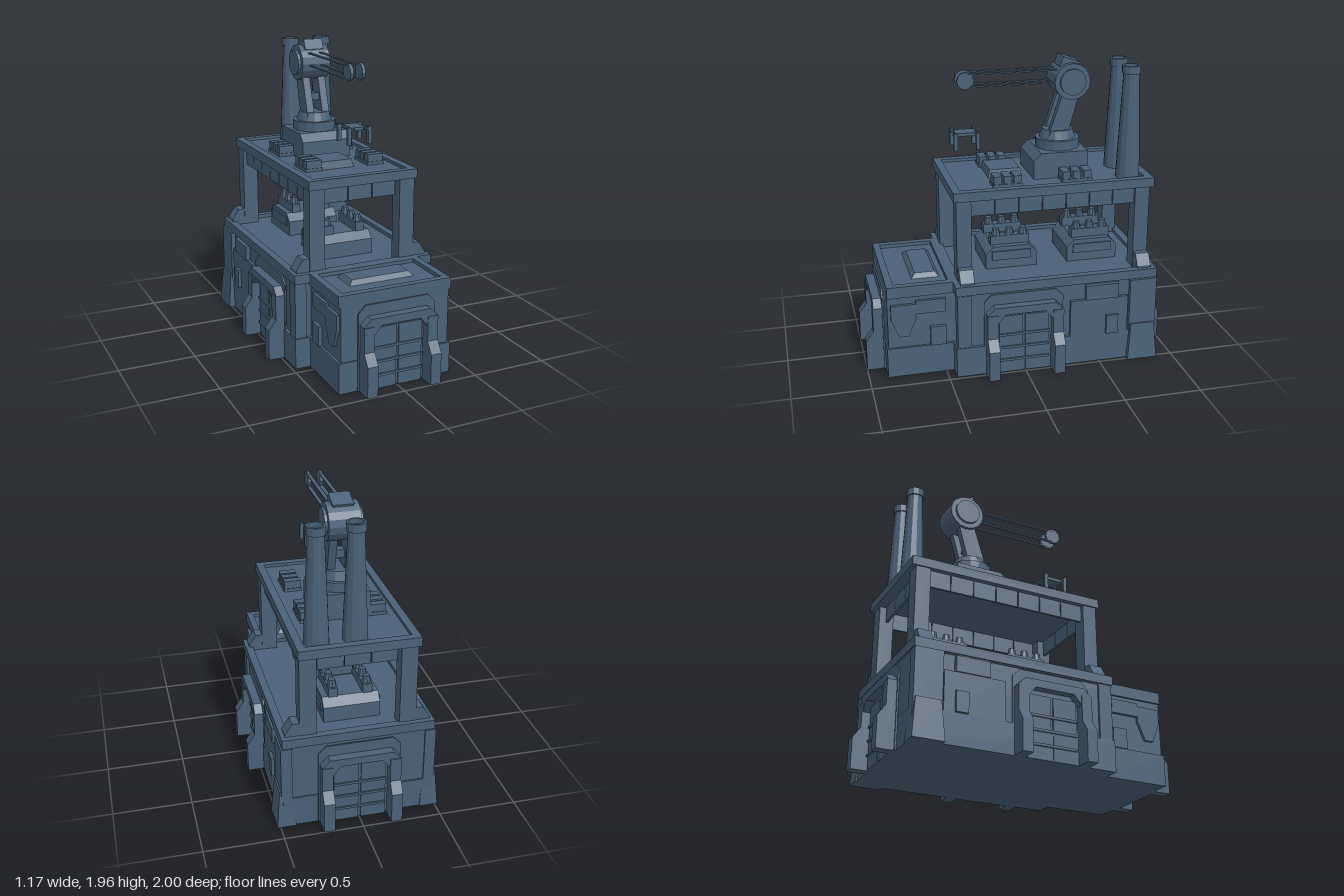
import * as THREE from 'three';

const steel = new THREE.MeshStandardMaterial({ color: 0x4a6178, flatShading: true });
steel.name = 'blue steel';

function add(parent, name, geo, x = 0, y = 0, z = 0) {
  const m = new THREE.Mesh(geo, steel);
  m.name = name;
  m.position.set(x, y, z);
  parent.add(m);
  return m;
}
// Box given by its limits
function box(parent, name, x0, x1, y0, y1, z0, z1) {
  return add(parent, name, new THREE.BoxGeometry(x1 - x0, y1 - y0, z1 - z0),
    (x0 + x1) / 2, (y0 + y1) / 2, (z0 + z1) / 2);
}
const shape = pts => new THREE.Shape(pts.map(p => new THREE.Vector2(...p)));
const extrude = (s, depth) => new THREE.ExtrudeGeometry(s, { depth, bevelEnabled: false });

// Profile in (z, y), extruded across x from x0 to x1
function prismX(parent, name, pts, x0, x1) {
  const geo = extrude(shape(pts.map(([z, y]) => [-z, y])), x1 - x0).rotateY(Math.PI / 2);
  return add(parent, name, geo, x0, 0, 0);
}
// Rectangular rim lying flat
function rim(parent, name, x, z0, z1, y0, y1, w) {
  const s = shape([[-x, -z1], [x, -z1], [x, -z0], [-x, -z0]]);
  s.holes.push(new THREE.Path([[-x + w, -z1 + w], [-x + w, -z0 - w], [x - w, -z0 - w], [x - w, -z1 + w]]
    .map(p => new THREE.Vector2(...p))));
  add(parent, name, extrude(s, y1 - y0).rotateX(-Math.PI / 2), 0, y0, 0);
}
// Block with a narrower top
function taper(parent, name, w, h, d, inset, x, y, z) {
  const g = new THREE.BoxGeometry(w, h, d), p = g.attributes.position;
  for (let i = 0; i < p.count; i++) if (p.getY(i) > 0) {
    p.setX(i, p.getX(i) - Math.sign(p.getX(i)) * inset);
    p.setZ(i, p.getZ(i) - Math.sign(p.getZ(i)) * inset);
  }
  return add(parent, name, g, x, y + h / 2, z);
}

// Gate with arched frame, stepped posts and ribbed shutter, facing +z
function gate(name, x, z, angle) {
  const g = new THREE.Group();
  g.name = name;
  const frame = shape([[-0.25, 0], [-0.18, 0], [-0.18, 0.37], [-0.13, 0.43], [0.13, 0.43], [0.18, 0.37],
    [0.18, 0], [0.25, 0], [0.25, 0.43], [0.2, 0.48], [-0.2, 0.48], [-0.25, 0.43]]);
  add(g, 'gateFrame', extrude(frame, 0.065));
  add(g, 'gateSurround', extrude(shape([[-0.26, 0], [0.26, 0], [0.26, 0.5], [0.21, 0.55], [-0.21, 0.55], [-0.26, 0.5]]), 0.01));
  for (const s of [-1, 1]) {
    prismX(g, 'gatePost', [[0, 0], [0.12, 0], [0.12, 0.2], [0.07, 0.27], [0.07, 0.43], [0, 0.43]], s * 0.215 - 0.035, s * 0.215 + 0.035);
    box(g, 'shutterPanel', s > 0 ? 0.008 : -0.165, s > 0 ? 0.165 : -0.008, 0, 0.4, 0, 0.02);
  }
  for (const y of [0.09, 0.18, 0.27]) box(g, 'shutterRib', -0.165, 0.165, y - 0.008, y + 0.008, 0, 0.03);
  g.position.set(x, 0, z);
  g.rotation.y = angle;
  return g;
}

// Machine on the open deck
function machine(z) {
  const g = new THREE.Group();
  g.name = 'deckMachine';
  prismX(g, 'machineBase', [[-0.17, 0.6], [0.17, 0.6], [0.17, 0.7], [0.12, 0.75], [-0.12, 0.75], [-0.17, 0.7]], -0.18, 0.18);
  box(g, 'machineBelt', -0.19, 0.19, 0.66, 0.72, -0.13, 0.13);
  for (const s of [-1, 1]) {
    box(g, 'machineTopBar', s * 0.11 - 0.03, s * 0.11 + 0.03, 0.75, 0.81, -0.13, 0.13);
    for (const dz of [-0.09, 0, 0.09]) add(g, 'machineCap', new THREE.CylinderGeometry(0.022, 0.032, 0.05, 8), s * 0.11, 0.83, dz);
  }
  g.position.z = z;
  return g;
}

export function createModel() {
  const root = new THREE.Group();
  root.name = 'factory';

  // Lower building
  box(root, 'mainPlinth', -0.48, 0.48, 0, 0.2, -0.88, 0.45);
  box(root, 'mainWalls', -0.46, 0.46, 0.2, 0.56, -0.87, 0.43);
  box(root, 'frontPlinth', -0.38, 0.38, 0, 0.2, 0.4, 0.88);
  box(root, 'frontWalls', -0.365, 0.365, 0.2, 0.56, 0.4, 0.87);
  box(root, 'mainDeck', -0.47, 0.47, 0.56, 0.6, -0.87, 0.44);
  rim(root, 'mainDeckRim', 0.48, -0.88, 0.45, 0.565, 0.625, 0.05);
  box(root, 'frontDeck', -0.37, 0.37, 0.56, 0.6, 0.42, 0.86);
  rim(root, 'frontDeckRim', 0.38, 0.43, 0.87, 0.55, 0.625, 0.045);
  taper(root, 'frontHatch', 0.44, 0.03, 0.18, 0.025, 0, 0.6, 0.6);

  // Gates on all four sides
  root.add(gate('frontGate', 0, 0.88, 0), gate('backGate', 0, -0.88, Math.PI),
    gate('leftGate', 0.465, 0.01, Math.PI / 2), gate('rightGate', -0.465, 0.01, -Math.PI / 2));

  for (const s of [-1, 1]) {
    // Spans ordered for either side of the building
    const side = (name, a, b, ...rest) => box(root, name, Math.min(s * a, s * b), Math.max(s * a, s * b), ...rest);
    taper(root, 'rearFoot', 0.12, 0.25, 0.2, 0.02, s * 0.46, 0, -0.79);
    side('rearCorner', 0.42, 0.49, 0.2, 0.56, -0.88, -0.7);
    side('frontCorner', 0.4, 0.475, 0.2, 0.56, 0.35, 0.44);
    side('wallBox', 0.36, 0.39, 0.2, 0.33, 0.5, 0.6);
    side('wallVent', 0.36, 0.385, 0.43, 0.52, 0.5, 0.69);
    prismX(root, 'wallBracket', [[0.69, 0.5], [0.85, 0.5], [0.85, 0.4], [0.8, 0.28], [0.74, 0.28], [0.69, 0.4]],
      s > 0 ? 0.36 : -0.385, s > 0 ? 0.385 : -0.36);
    side('rearWallPanel', 0.45, 0.48, 0.2, 0.45, -0.69, -0.3);
    side('rearWallVent', 0.45, 0.49, 0.45, 0.55, -0.62, -0.4);
    side('rearWallBox', 0.45, 0.5, 0.2, 0.33, -0.62, -0.54);

    // Pillars with sloped feet
    for (const z of [0.37, -0.8]) {
      side('pillar', 0.26, 0.365, 0.6, 1.16, z - 0.048, z + 0.048);
      const foot = shape([[0.36, 0.6], [0.455, 0.6], [0.455, 0.64], [0.41, 0.71], [0.36, 0.71]].map(([x, y]) => [s * x, y]));
      add(root, 'pillarFoot', extrude(foot, 0.09), 0, 0, z - 0.045);
    }
    // Hanging panels below the roof sides
    for (let i = 0; i < 7; i++) {
      const z = 0.32 - i * 0.155;
      side('sidePanel', 0.325, 0.34, 1.04, 1.16, z - 0.15, z);
    }
    // Roof vents
    for (const z of [0.13, 0.065, 0, -0.32, -0.39, -0.46]) side('roofVent', 0.165, 0.27, 1.17, 1.26, z - 0.025, z + 0.025);
    side('ventBase', 0.16, 0.275, 1.17, 1.21, -0.03, 0.16);
    side('ventBase', 0.16, 0.275, 1.17, 1.21, -0.49, -0.29);
  }
  for (const z of [0.37, -0.8]) for (const x of [-0.167, 0, 0.167])
    box(root, 'endPanel', x - 0.08, x + 0.08, 1.04, 1.16, z - 0.008, z + 0.008);

  // Machines between the pillars
  root.add(machine(0.02), machine(-0.53));

  // Roof
  box(root, 'roofFloor', -0.36, 0.36, 1.15, 1.19, -0.86, 0.42);
  rim(root, 'roofRim', 0.375, -0.875, 0.435, 1.15, 1.21, 0.05);
  taper(root, 'roofHatch', 0.24, 0.06, 0.23, 0.015, -0.05, 1.18, 0.035);

  // Chimneys
  for (const x of [0, 0.235]) {
    add(root, 'chimney', new THREE.CylinderGeometry(0.05, 0.08, 0.71, 12), x, 1.535, -0.74);
    const lip = new THREE.LatheGeometry([[0.045, 0], [0.06, 0], [0.06, 0.05], [0.045, 0.05], [0.045, 0]]
      .map(p => new THREE.Vector2(...p)), 12);
    add(root, 'chimneyLip', lip, x, 1.87, -0.74);
  }

  // Crane house and turntable
  const crane = new THREE.Group();
  crane.name = 'crane';
  root.add(crane);
  prismX(crane, 'craneHouse', [[-0.49, 1.17], [-0.13, 1.17], [-0.13, 1.31], [-0.18, 1.36], [-0.49, 1.36]], -0.17, 0.17);
  add(crane, 'turntable', new THREE.CylinderGeometry(0.145, 0.145, 0.065, 16), 0, 1.39, -0.33);
  add(crane, 'turntableTop', new THREE.CylinderGeometry(0.1, 0.12, 0.06, 16), 0, 1.45, -0.33);

  // Leaning arm and drum
  const arm = [[-0.37, 1.44], [-0.26, 1.44], [-0.365, 1.8], [-0.475, 1.8]].map(([z, y]) => [z, y]);
  arm[0] = [-0.375, 1.44];
  arm[1] = [-0.25, 1.44];
  for (const s of [-1, 1]) {
    prismX(crane, 'arm', arm, s * 0.055 - 0.025, s * 0.055 + 0.025);
    add(crane, 'drumCap', new THREE.CylinderGeometry(0.085, 0.085, 0.02, 16).rotateZ(Math.PI / 2), s * 0.108, 1.8, -0.4);
  }
  box(crane, 'armBrace', -0.05, 0.05, 1.55, 1.6, -0.38, -0.32);
  add(crane, 'drum', new THREE.CylinderGeometry(0.118, 0.118, 0.2, 16).rotateZ(Math.PI / 2), 0, 1.8, -0.4);
  box(crane, 'drumHousing', -0.065, 0.065, 1.87, 1.94, -0.45, -0.33).rotation.x = -0.35;

  // Thin boom rails with end pulleys
  for (const s of [-1, 1]) {
    for (const y of [1.79, 1.87]) box(crane, 'boomRail', s * 0.04 - 0.012, s * 0.04 + 0.012, y - 0.004, y + 0.004, -0.35, 0.29);
    add(crane, 'pulley', new THREE.CylinderGeometry(0.055, 0.055, 0.02, 12).rotateZ(Math.PI / 2), s * 0.04, 1.83, 0.285);
  }

  // Hanging claw
  box(crane, 'clawPlate', -0.05, 0.05, 1.475, 1.495, 0.22, 0.35);
  for (const x of [-0.07, 0.07]) for (const z of [0.213, 0.357]) {
    box(crane, 'clawLeg', x - 0.012, x + 0.012, 1.39, 1.5, z - 0.012, z + 0.012);
    box(crane, 'clawArm', Math.min(x, x * 0.5), Math.max(x, x * 0.5), 1.48, 1.49, z - 0.012, z + 0.012);
  }
  return root;
}
